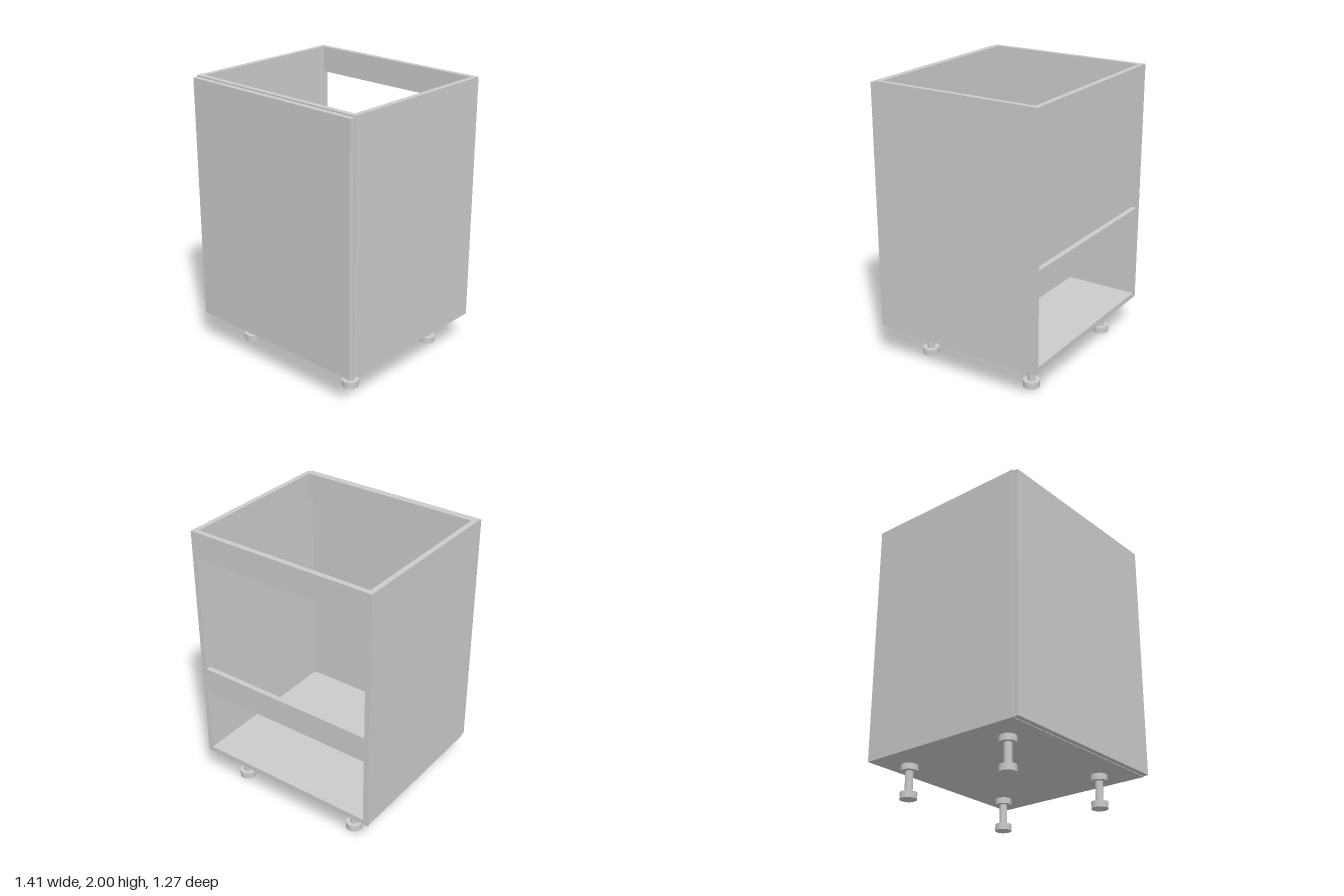
import * as THREE from 'three';

const W = 1.412;      // cabinet width
const T = 0.0376;     // board thickness
const BASE = 0.236;   // underside of the carcass
const TOP = 2;
const BACK = -0.635;
const FRONT = 0.598;  // front of the carcass, behind the door
const RAIL = 0.188;   // rail height

export function createModel() {
  const model = new THREE.Group();
  const material = new THREE.MeshStandardMaterial({ color: 0xcccccc });

  // Board given by its minimum and maximum corners
  const board = (name, x0, x1, y0, y1, z0, z1) => {
    const mesh = new THREE.Mesh(new THREE.BoxGeometry(x1 - x0, y1 - y0, z1 - z0), material);
    mesh.position.set((x0 + x1) / 2, (y0 + y1) / 2, (z0 + z1) / 2);
    mesh.name = name;
    model.add(mesh);
  };

  // Carcass: two sides and a floor between them, open at the top
  const inner = W / 2 - T;
  board('leftSide', inner, W / 2, BASE, TOP, BACK, FRONT);
  board('rightSide', -W / 2, -inner, BASE, TOP, BACK, FRONT);
  board('floor', -inner, inner, BASE, BASE + T, BACK, FRONT);

  // Cross rails
  board('frontTopRail', -inner, inner, TOP - RAIL, TOP, FRONT - T, FRONT);
  board('backTopRail', -inner, inner, TOP - RAIL, TOP, BACK, BACK + T);
  board('backMiddleRail', -inner, inner, 0.765, 0.765 + RAIL, BACK, BACK + T);

  // Door, slightly smaller than the carcass
  board('door', -0.701, 0.701, 0.24, 1.99, FRONT, FRONT + T);

  // Legs: foot, stem and mounting flange
  const legParts = [
    ['foot', 0.058, 0, 0.047],
    ['stem', 0.027, 0.047, 0.193],
    ['flange', 0.058, 0.193, BASE],
  ];
  for (const x of [-0.484, 0.484]) {
    for (const z of [0.378, -0.47]) {
      const leg = new THREE.Group();
      leg.name = (z > 0 ? 'front' : 'back') + (x > 0 ? 'Left' : 'Right') + 'Leg';
      for (const [name, r, y0, y1] of legParts) {
        const part = new THREE.Mesh(new THREE.CylinderGeometry(r, r, y1 - y0, 32), material);
        part.position.y = (y0 + y1) / 2;
        part.name = name;
        leg.add(part);
      }
      leg.position.set(x, 0, z);
      model.add(leg);
    }
  }
  return model;
}
